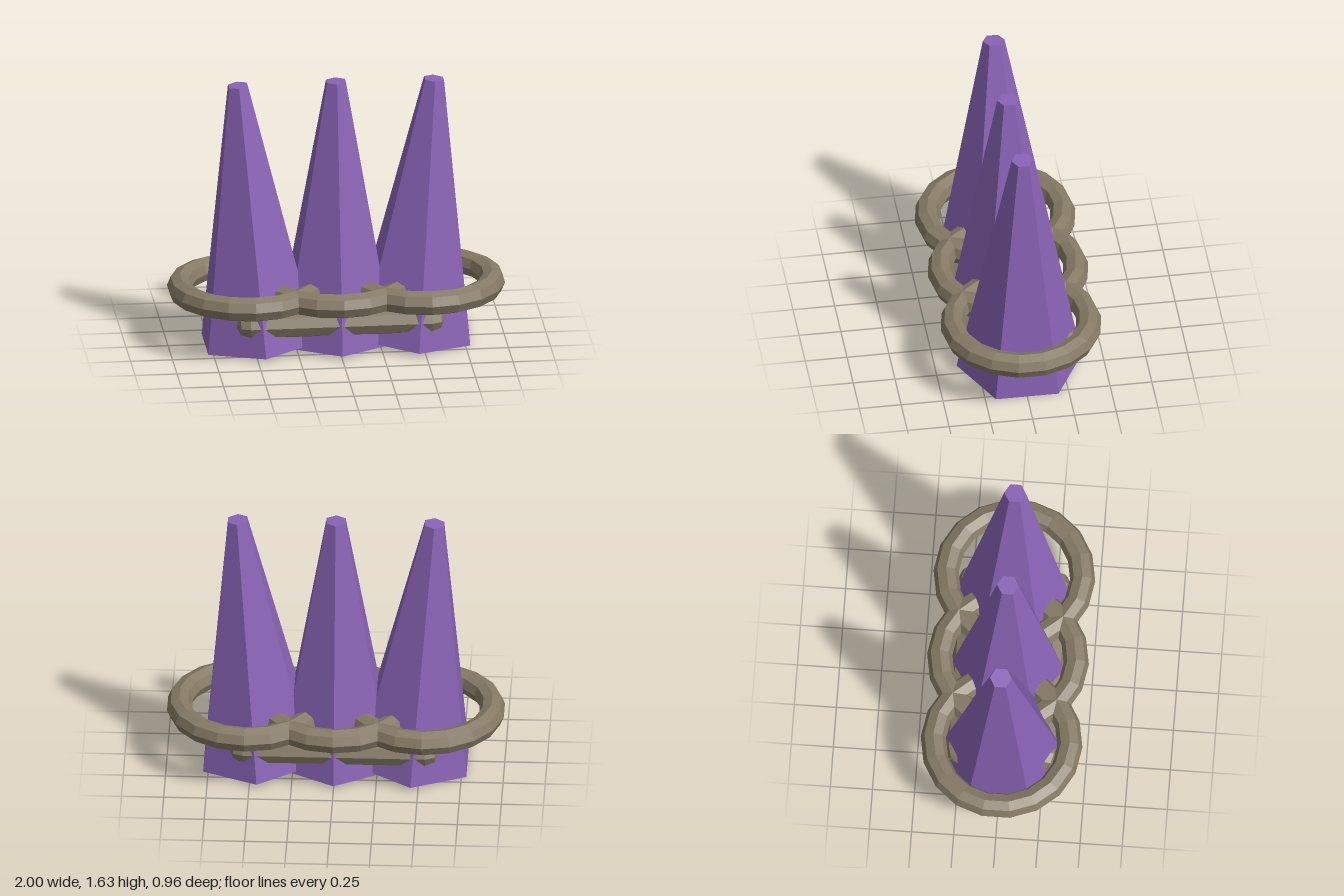
import * as THREE from 'three';

export function createModel() {
  const model = new THREE.Group();
  const purple = new THREE.MeshStandardMaterial({ color: 0x8963b6, flatShading: true });
  purple.name = 'purple crystal';
  const bronze = new THREE.MeshStandardMaterial({ color: 0x857a65, flatShading: true });
  bronze.name = 'dull bronze';

  const add = (name, geometry, material, x, y, z) => {
    const mesh = new THREE.Mesh(geometry, material);
    mesh.name = name;
    mesh.position.set(x, y, z);
    model.add(mesh);
    return mesh;
  };

  // Tapered hexagonal spike, pivoting on its base
  const spike = new THREE.CylinderGeometry(0.065, 0.375, 1.6, 6);
  spike.translate(0, 0.8, 0);

  // Faceted ring lying flat, with a corner pointing to the front
  const ring = new THREE.TorusGeometry(0.405, 0.075, 8, 18);
  ring.rotateZ(Math.PI / 2);
  ring.rotateX(Math.PI / 2);

  // Outer spikes lean away from the middle; the three rings interlock
  ['right', 'middle', 'left'].forEach((side, i) => {
    const s = i - 1;
    add(side + 'Spike', spike, purple, s * 0.456, 0.028, 0).rotation.z = -s * 0.08;
    add(side + 'Ring', ring, bronze, s * 0.525, 0.355, 0);
  });

  // Round-ended bars run through the spikes at front and back
  const bar = new THREE.CapsuleGeometry(0.08, 1.08, 2, 8);
  bar.rotateZ(Math.PI / 2);
  add('frontBar', bar, bronze, 0, 0.2, 0.255);
  add('backBar', bar, bronze, 0, 0.2, -0.255);

  return model;
}
